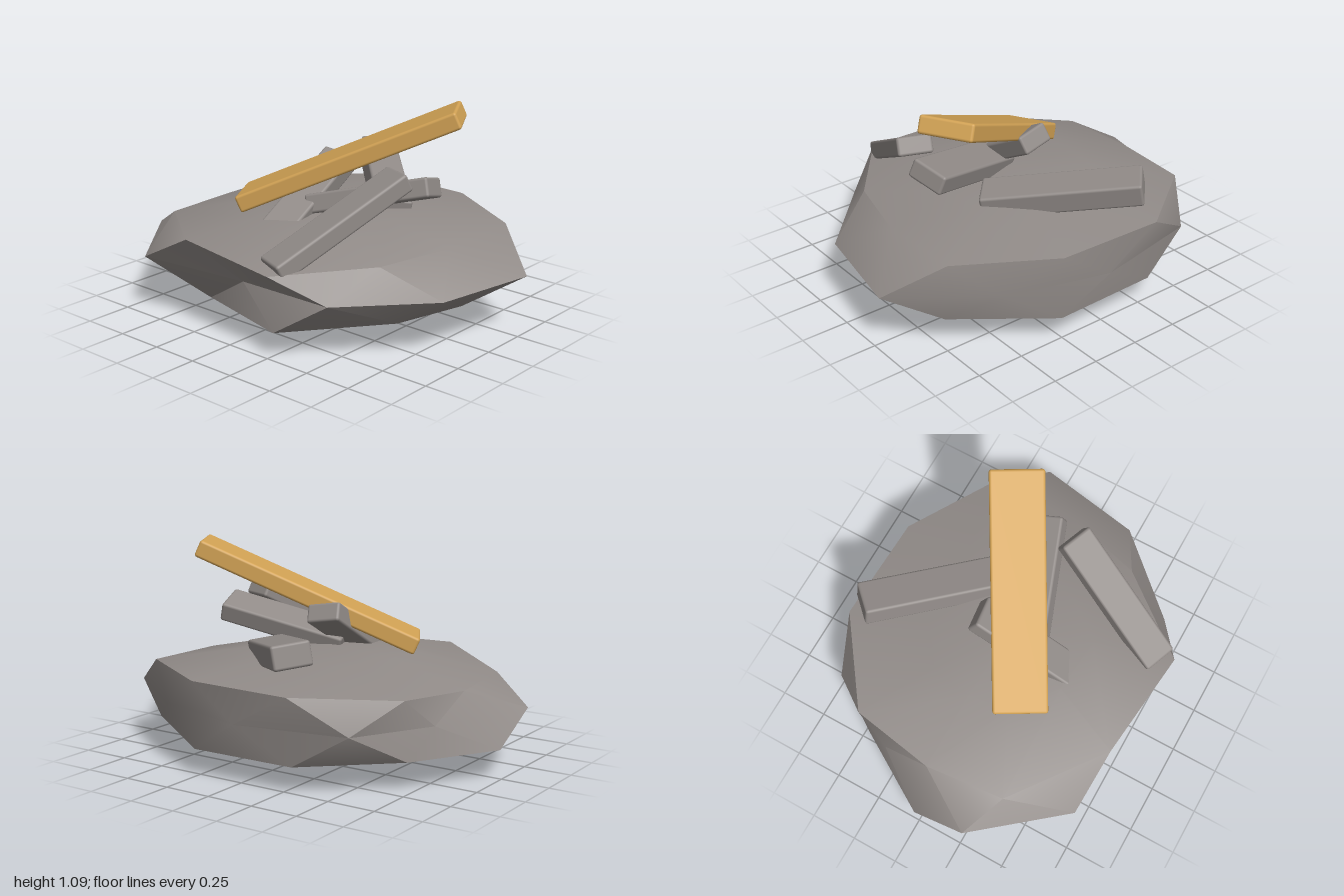
import * as THREE from 'three';
import { toCreasedNormals } from 'three/addons/utils/BufferGeometryUtils.js';
import { RoundedBoxGeometry } from 'three/addons/geometries/RoundedBoxGeometry.js';

const stone = new THREE.MeshStandardMaterial({ color: 0x918b88 });
stone.name = 'grey stone';
const gold = new THREE.MeshStandardMaterial({ color: 0xd3a355 });
gold.name = 'gold';

// Rock rings run from +x round the front; shoulders sit between the rim corners
const RIM_Y = 0.3;
const RIM = [[1, -0.31], [0.9, 0.24], [0.53, 0.64], [0, 0.65], [-0.63, 0.72],
  [-1, 0.27], [-0.8, -0.3], [-0.58, -0.7], [0, -0.81], [0.53, -0.66]];
const UPPER = [[0.74, 0.46, -0.03], [0.63, 0.45, 0.38], [0.3, 0.44, 0.8], [-0.3, 0.47, 0.74], [-0.77, 0.43, 0.38],
  [-0.81, 0.42, -0.04], [-0.74, 0.45, -0.48], [-0.3, 0.47, -0.8], [0.27, 0.47, -0.78], [0.74, 0.47, -0.5]];
const LOWER = [[0.8, 0.17, -0.05], [0.7, 0.17, 0.33], [0.27, 0.13, 0.73], [-0.3, 0.12, 0.58], [-0.74, 0.13, 0.42],
  [-1, 0.15, -0.02], [-0.74, 0.15, -0.45], [-0.3, 0.13, -0.76], [0.27, 0.13, -0.77], [0.74, 0.16, -0.47]];

function rockGeometry() {
  const n = RIM.length;
  const rim = RIM.map(([x, z]) => [x, RIM_Y, z]);
  const crown = UPPER.map(([x, , z]) => [x * 0.5, 0.53, z * 0.5]);
  const keel = LOWER.map(([x, , z]) => [x * 0.44 + 0.07, 0.035, z * 0.62]);
  const top = [0, 0.55, 0], bottom = [0, 0, 0];
  const points = [];
  const tri = (...corners) => corners.forEach((c) => points.push(...c));
  for (let i = 0; i < n; i++) {
    const j = (i + 1) % n;
    // base
    tri(keel[i], keel[j], bottom);
    tri(LOWER[j], keel[j], keel[i]);
    tri(LOWER[j], keel[i], LOWER[i]);
    // faceted sides
    tri(rim[i], rim[j], LOWER[i]);
    tri(rim[j], LOWER[j], LOWER[i]);
    tri(rim[j], rim[i], UPPER[i]);
    tri(rim[j], UPPER[i], UPPER[j]);
    // gently domed top
    tri(UPPER[j], UPPER[i], crown[i]);
    tri(UPPER[j], crown[i], crown[j]);
    tri(crown[j], crown[i], top);
  }
  const g = new THREE.BufferGeometry();
  g.setAttribute('position', new THREE.Float32BufferAttribute(points, 3));
  return toCreasedNormals(g, THREE.MathUtils.degToRad(35));
}

// Bar with softened edges: heading turns it about y, tilt raises its +x end, roll twists it
function bar(name, material, size, position, heading, tilt, roll = 0) {
  const mesh = new THREE.Mesh(new RoundedBoxGeometry(...size, 2, 0.014), material);
  const rad = THREE.MathUtils.degToRad;
  mesh.rotation.set(rad(roll), rad(heading), rad(tilt), 'YZX');
  mesh.position.set(...position);
  mesh.name = name;
  return mesh;
}

export function createModel() {
  const model = new THREE.Group();
  model.name = 'rockWithBars';

  const rock = new THREE.Mesh(rockGeometry(), stone);
  rock.name = 'rock';
  model.add(rock);

  // Heap of bars lying on the rock
  model.add(
    bar('goldBar', gold, [1.215, 0.09, 0.28], [0.11, 0.805, -0.02], 30, 24),
    bar('frontBar', stone, [0.78, 0.095, 0.18], [0.385, 0.618, 0.4], 69, 27),
    bar('backBar', stone, [0.8, 0.12, 0.19], [0, 0.585, -0.44], 135, 9, 8),
    bar('leftBar', stone, [0.66, 0.1, 0.2], [0.275, 0.638, 0], 20, 14, -16),
    bar('middleBar', stone, [0.6, 0.1, 0.18], [-0.05, 0.605, 0.11], 93, 28, 10),
  );
  return model;
}
